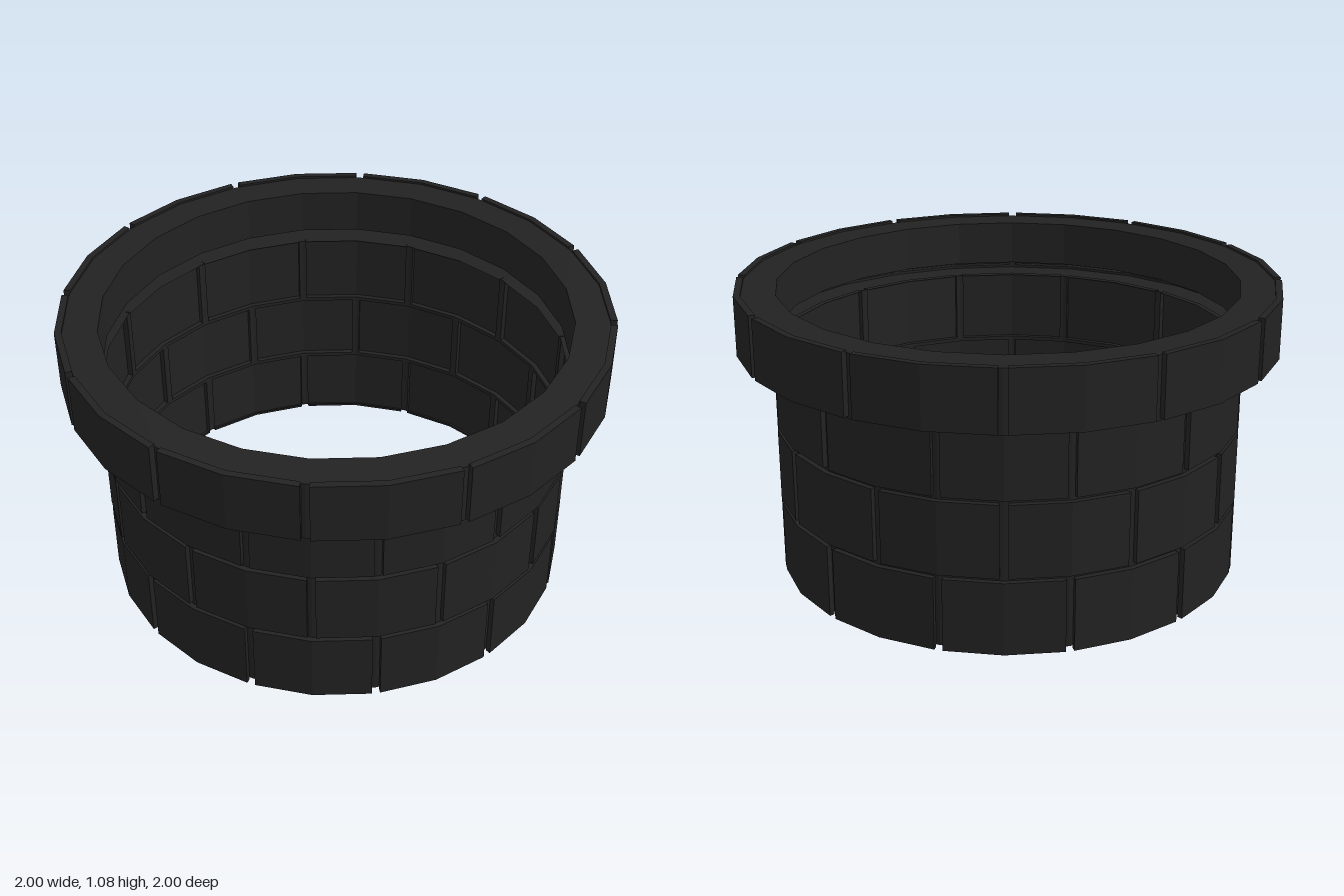
import * as THREE from 'three';

const SIDES = 24, BRICKS = 12;
const STEP = (Math.PI * 2) / SIDES;
const GAP = 0.03;

// point on a 24-sided prism of corner radius r
function point(a, r, y) {
  const m = a - Math.floor(a / STEP + 1e-6) * STEP;
  const rc = (r * Math.cos(STEP / 2)) / Math.cos(m - STEP / 2);
  return [Math.sin(a) * rc, y, Math.cos(a) * rc];
}

function quadGeometry(quads) {
  const pos = [];
  for (const [a, b, c, d] of quads) pos.push(...a, ...b, ...c, ...a, ...c, ...d);
  const g = new THREE.BufferGeometry();
  g.setAttribute('position', new THREE.Float32BufferAttribute(pos, 3));
  g.computeVertexNormals();
  return g;
}

// patch of the prism wall over a list of angles
function wall(angles, r, y0, y1) {
  const quads = [];
  for (let i = 0; i + 1 < angles.length; i++) {
    const [a, b] = [angles[i], angles[i + 1]];
    quads.push([point(a, r, y0), point(b, r, y0), point(b, r, y1), point(a, r, y1)]);
  }
  return quads;
}

// flat ledge between two radii, facing up or down
function ledge(angles, r0, r1, y, up) {
  const quads = [];
  for (let i = 0; i + 1 < angles.length; i++) {
    const [a, b] = [angles[i], angles[i + 1]];
    const q = [point(a, r1, y), point(b, r1, y), point(b, r0, y), point(a, r0, y)];
    quads.push(up ? q : q.reverse());
  }
  return quads;
}

// raised brick shell, open at the back apart from a narrow lip past the mortar
function brick(mid, r0, r1, y0, y1, lip) {
  const half = STEP - GAP / 2 / r1;
  const an = [mid - half, mid, mid + half];
  const quads = [
    ...wall(an, r1, y0, y1),
    ...ledge(an, r0, r1, y1, true),
    ...ledge(an, r0, r1, y0, false),
  ];
  if (lip) quads.push(...wall(an, r0, lip[0], lip[1]).map((q) => q.reverse()));
  const [s, e] = [an[0], an[2]];
  quads.push([point(s, r0, y0), point(s, r1, y0), point(s, r1, y1), point(s, r0, y1)]);
  quads.push([point(e, r1, y0), point(e, r0, y0), point(e, r0, y1), point(e, r1, y1)]);
  return quads;
}

export function createModel() {
  const group = new THREE.Group();
  const material = new THREE.MeshStandardMaterial({
    color: 0x222222, flatShading: true, side: THREE.DoubleSide,
  });
  const add = (parent, name, geometry) => {
    const mesh = new THREE.Mesh(geometry, material);
    mesh.name = name;
    parent.add(mesh);
  };
  const ring = (pts) =>
    new THREE.LatheGeometry(pts.map(([r, y]) => new THREE.Vector2(r, y)), SIDES);

  // one ring of bricks with upright mortar joints between them
  function course(name, r0, r1, y0, y1, m0, m1, shift, lip) {
    const part = new THREE.Group();
    part.name = name;
    const joints = [];
    const g = GAP / 2 / r1;
    for (let i = 0; i < BRICKS; i++) {
      const mid = (2 * i + shift) * STEP;
      add(part, 'brick', quadGeometry(brick(mid, r0, r1, y0, y1, lip)));
      const j = mid + STEP;
      joints.push(...wall([j - g, j, j + g], r0, m0, m1));
    }
    add(part, 'mortarJoints', quadGeometry(joints));
    group.add(part);
  }

  // three wall courses, every second one shifted by half a brick
  course('bottomCourse', 0.85, 0.87, 0, 0.272, 0.01, 0.272, 0, [0, 0.01]);
  course('middleCourse', 0.85, 0.87, 0.287, 0.557, 0.287, 0.557, 1);
  course('topCourse', 0.85, 0.87, 0.572, 0.848, 0.572, 0.848, 0);

  // level mortar bands between the courses
  for (const y of [0.272, 0.557]) add(group, 'mortarBand', ring([[0.85, y], [0.85, y + 0.015]]));

  // wider rim: raised bricks round a hollow mortar collar
  course('rimCourse', 0.975, 1, 0.855, 1.078, 0.855, 1.07, 1, [1.07, 1.078]);
  add(group, 'rimUnderside', ring([[0.85, 0.845], [0.975, 0.845], [0.975, 0.855]]));
  add(group, 'rimTopAndLining', ring([[0.975, 1.07], [0.85, 1.07], [0.85, 0.9]]));
  return group;
}
